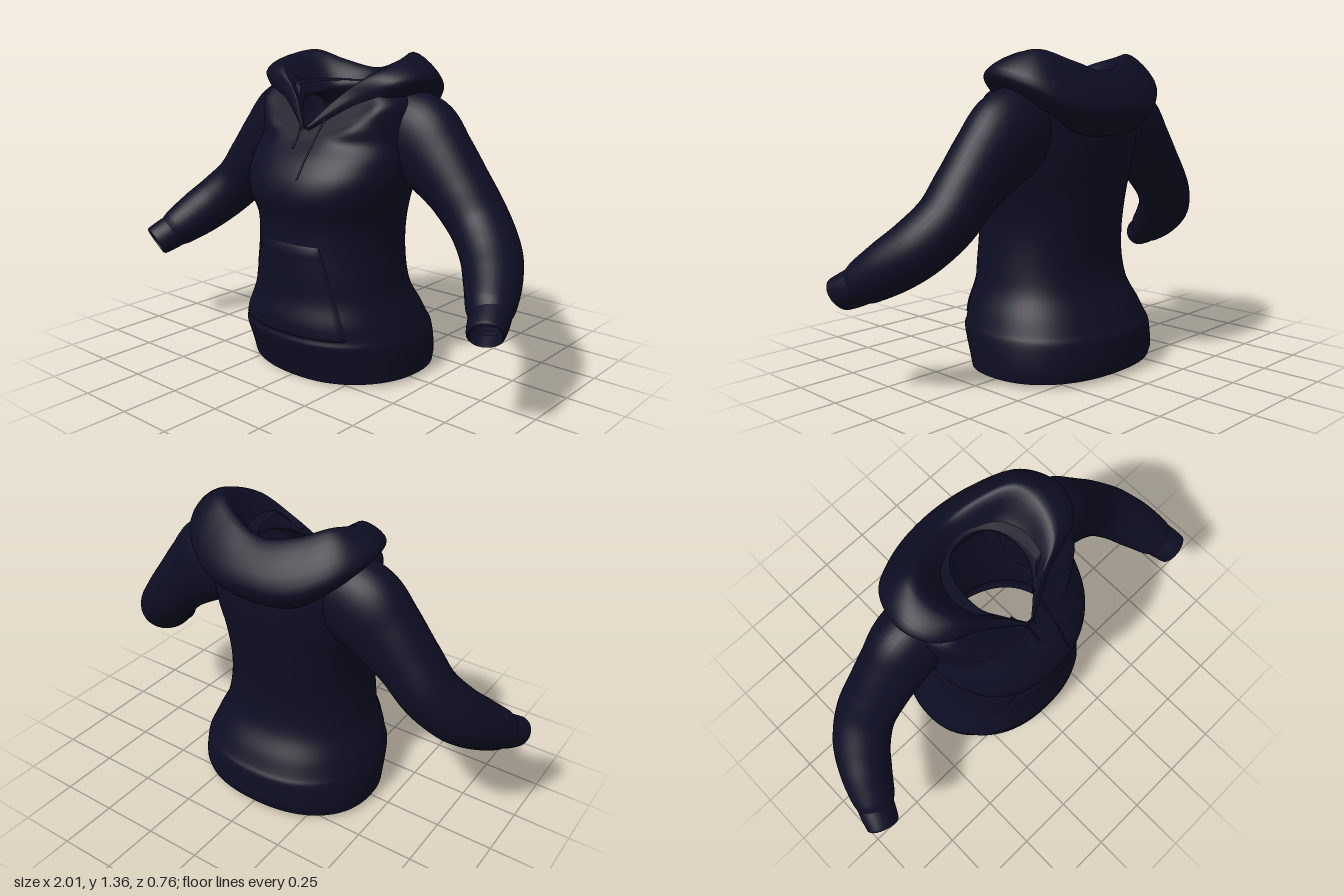
import * as THREE from 'three';

const navy = new THREE.MeshStandardMaterial({ color: 0x0e0e24, side: THREE.DoubleSide });
navy.name = 'navy fabric';
const V = (x, y, z) => new THREE.Vector3(x, y, z);

// Skin a list of point rings; closed joins the last point of each ring to the first
function skin(name, rings, closed = true) {
  const n = rings[0].length, index = [];
  for (let i = 0; i < rings.length - 1; i++) {
    for (let j = 0; j < (closed ? n : n - 1); j++) {
      const k = (j + 1) % n, a = i * n + j, b = i * n + k, c = b + n, d = a + n;
      index.push(a, b, c, a, c, d);
    }
  }
  const geo = new THREE.BufferGeometry().setFromPoints(rings.flat());
  geo.setIndex(index);
  geo.computeVertexNormals();
  const mesh = new THREE.Mesh(geo, navy);
  mesh.name = name;
  return mesh;
}

// Turn columns of splines into rings
function ringsFrom(columns, steps, t0 = 0, t1 = 1) {
  return Array.from({ length: steps + 1 }, (_, i) =>
    columns.map(c => c.getPoint(t0 + (t1 - t0) * i / steps)));
}

// Torso rows: y, half width, front z, back z, drop at the front centre
const TORSO = [
  [0.02, 0.42, 0.31, -0.35, 0.018],
  [0.06, 0.422, 0.325, -0.365, 0.01],
  [0.13, 0.42, 0.355, -0.365, 0],
  [0.185, 0.412, 0.378, -0.36, 0],
  [0.21, 0.402, 0.372, -0.345, 0],
  [0.27, 0.38, 0.37, -0.315, 0],
  [0.36, 0.342, 0.348, -0.262, 0],
  [0.46, 0.325, 0.345, -0.24, 0],
  [0.58, 0.312, 0.342, -0.243, 0],
  [0.68, 0.317, 0.345, -0.252, 0],
  [0.78, 0.345, 0.376, -0.26, 0],
  [0.86, 0.37, 0.36, -0.268, 0],
  [0.94, 0.375, 0.31, -0.275, 0],
  [1.01, 0.375, 0.25, -0.276, 0],
  [1.1, 0.38, 0.24, -0.272, 0.07],
  [1.17, 0.375, 0.235, -0.262, 0.125],
  [1.21, 0.32, 0.228, -0.24, 0.16],
  [1.23, 0.23, 0.224, -0.2, 0.175],
  [1.22, 0.15, 0.22, -0.17, 0.17],
];

function torsoPoint([y, hw, zf, zb, drop], a) {
  const s = Math.sin(a), c = Math.cos(a), e = 0.88;
  const py = y - drop * Math.max(0, c) ** 3;
  let z = (zf + zb) / 2 + (zf - zb) / 2 * Math.sign(c) * Math.abs(c) ** e;
  if (y > 1) z = Math.min(z, 0.24 - 0.72 * (py - 1.01)); // chest slopes back to the neck
  return V(hw * Math.sign(s) * Math.abs(s) ** e, py, z);
}
const torsoColumn = a => new THREE.CatmullRomCurve3(TORSO.map(r => torsoPoint(r, a)));

function makeTorso() {
  const columns = Array.from({ length: 72 }, (_, j) => torsoColumn(j / 72 * Math.PI * 2));
  return skin('torso', ringsFrom(columns, 110));
}

// Front pouch pocket, a padded patch on the belly
function makePocket() {
  const rows = [], N = 24, M = 20, last = TORSO.length - 1;
  for (let i = 0; i <= M; i++) {
    const v = i / M, half = 0.78 - 0.3 * v * v;
    rows.push(Array.from({ length: N + 1 }, (_, j) => {
      const a = (j / N * 2 - 1) * half;
      const p = torsoColumn(a).getPoint((4 + 4.2 * v) / last);
      const edge = i === 0 || i === M || j === 0 || j === N;
      const lift = edge ? -0.004 : 0.009;
      return p.add(V(Math.sin(a) * lift, 0, Math.cos(a) * lift));
    }));
  }
  return skin('pouchPocket', rows, false);
}

// Sleeve stations: x, y, z, radius across, radius in depth
const SLEEVE = [
  [0.25, 1.06, -0.07, 0.175, 0.14],
  [0.37, 1.015, -0.075, 0.19, 0.145],
  [0.47, 0.935, -0.07, 0.165, 0.137],
  [0.58, 0.83, -0.065, 0.135, 0.13],
  [0.68, 0.715, -0.055, 0.122, 0.128],
  [0.77, 0.62, 0.0, 0.118, 0.125],
  [0.835, 0.545, 0.085, 0.112, 0.112],
  [0.89, 0.475, 0.185, 0.094, 0.09],
  [0.91, 0.45, 0.22, 0.078, 0.07],
];
const CUFF = [
  [0.9, 0.462, 0.2, 0.084, 0.076],
  [0.915, 0.443, 0.235, 0.082, 0.074],
  [0.935, 0.418, 0.285, 0.076, 0.066],
  [0.938, 0.415, 0.29, 0.068, 0.058],
  [0.918, 0.44, 0.24, 0.066, 0.056],
];
function makeArmTube(name, rows, side, steps) {
  const path = new THREE.CatmullRomCurve3(rows.map(r => V(r[0], r[1], r[2])));
  const size = new THREE.CatmullRomCurve3(rows.map(r => V(r[3], r[4], 0)));
  const isCuff = rows === CUFF;
  const rings = [];
  for (let i = 0; i <= steps; i++) {
    const p = path.getPoint(i / steps), r = size.getPoint(i / steps);
    const t = isCuff ? V(0.16, -0.22, 0.36).normalize() : path.getTangent(i / steps);
    const n1 = V(-t.y, t.x, 0).normalize(), n2 = t.clone().cross(n1);
    const ring = Array.from({ length: 32 }, (_, j) => {
      const a = j / 32 * Math.PI * 2;
      const q = p.clone().addScaledVector(n1, r.x * Math.cos(a)).addScaledVector(n2, r.y * Math.sin(a));
      q.x *= side;
      return q;
    });
    rings.push(side < 0 ? ring.reverse() : ring);
  }
  return skin(name, rings);
}

// Folded hood stations on the left half: inner edge, inner fold, crest, rim, underside
const HOOD = [
  [[0.004, 1.05, 0.215], [0.006, 1.06, 0.22], [0.01, 1.065, 0.22], [0.015, 1.06, 0.222], [0.01, 1.045, 0.215]],
  [[0.075, 1.12, 0.15], [0.09, 1.15, 0.155], [0.12, 1.185, 0.15], [0.18, 1.18, 0.14], [0.16, 1.13, 0.14]],
  [[0.14, 1.16, 0.06], [0.17, 1.21, 0.08], [0.25, 1.285, 0.09], [0.36, 1.25, 0.08], [0.31, 1.18, 0.07]],
  [[0.155, 1.17, -0.03], [0.2, 1.23, -0.02], [0.3, 1.345, -0.06], [0.425, 1.27, -0.05], [0.36, 1.19, -0.07]],
  [[0.13, 1.18, -0.12], [0.18, 1.25, -0.12], [0.27, 1.36, -0.15], [0.375, 1.22, -0.23], [0.3, 1.12, -0.21]],
  [[0.07, 1.19, -0.16], [0.1, 1.24, -0.17], [0.15, 1.315, -0.22], [0.21, 1.13, -0.345], [0.17, 1.03, -0.26]],
];
const HOOD_BACK = [[0, 1.19, -0.17], [0, 1.23, -0.19], [0, 1.275, -0.25], [0, 1.12, -0.378], [0, 1.01, -0.28]];
function makeHood() {
  const mirrored = HOOD.map(s => s.map(([x, y, z]) => [-x, y > 1.3 ? y - 0.012 : y, z])).reverse();
  const stations = [...HOOD, HOOD_BACK, ...mirrored].map(s => {
    const loop = new THREE.CatmullRomCurve3(s.map(p => V(...p)), true, 'centripetal');
    return Array.from({ length: 30 }, (_, j) => loop.getPoint(j / 30));
  });
  const columns = stations[0].map((_, j) => new THREE.CatmullRomCurve3(stations.map(s => s[j])));
  return skin('foldedHood', ringsFrom(columns, 84));
}

function makeCord(name, points, radius) {
  const curve = new THREE.CatmullRomCurve3(points.map(p => V(...p)));
  const mesh = new THREE.Mesh(new THREE.TubeGeometry(curve, 24, radius, 6), navy);
  mesh.name = name;
  return mesh;
}

export function createModel() {
  const model = new THREE.Group();
  model.name = 'hoodedSweatshirt';
  model.add(makeTorso(), makePocket(), makeHood());
  for (const [label, side] of [['left', 1], ['right', -1]]) {
    model.add(makeArmTube(label + 'Sleeve', SLEEVE, side, 56));
    model.add(makeArmTube(label + 'Cuff', CUFF, side, 20));
  }
  // Drawstrings hanging from the collar
  model.add(makeCord('leftDrawstring',
    [[0.08, 1.14, 0.15], [0.084, 1.05, 0.23], [0.086, 0.95, 0.312], [0.086, 0.875, 0.362]], 0.004));
  model.add(makeCord('rightDrawstring',
    [[-0.06, 1.12, 0.165], [-0.02, 1.04, 0.232], [-0.01, 0.98, 0.283]], 0.004));
  return model;
}
